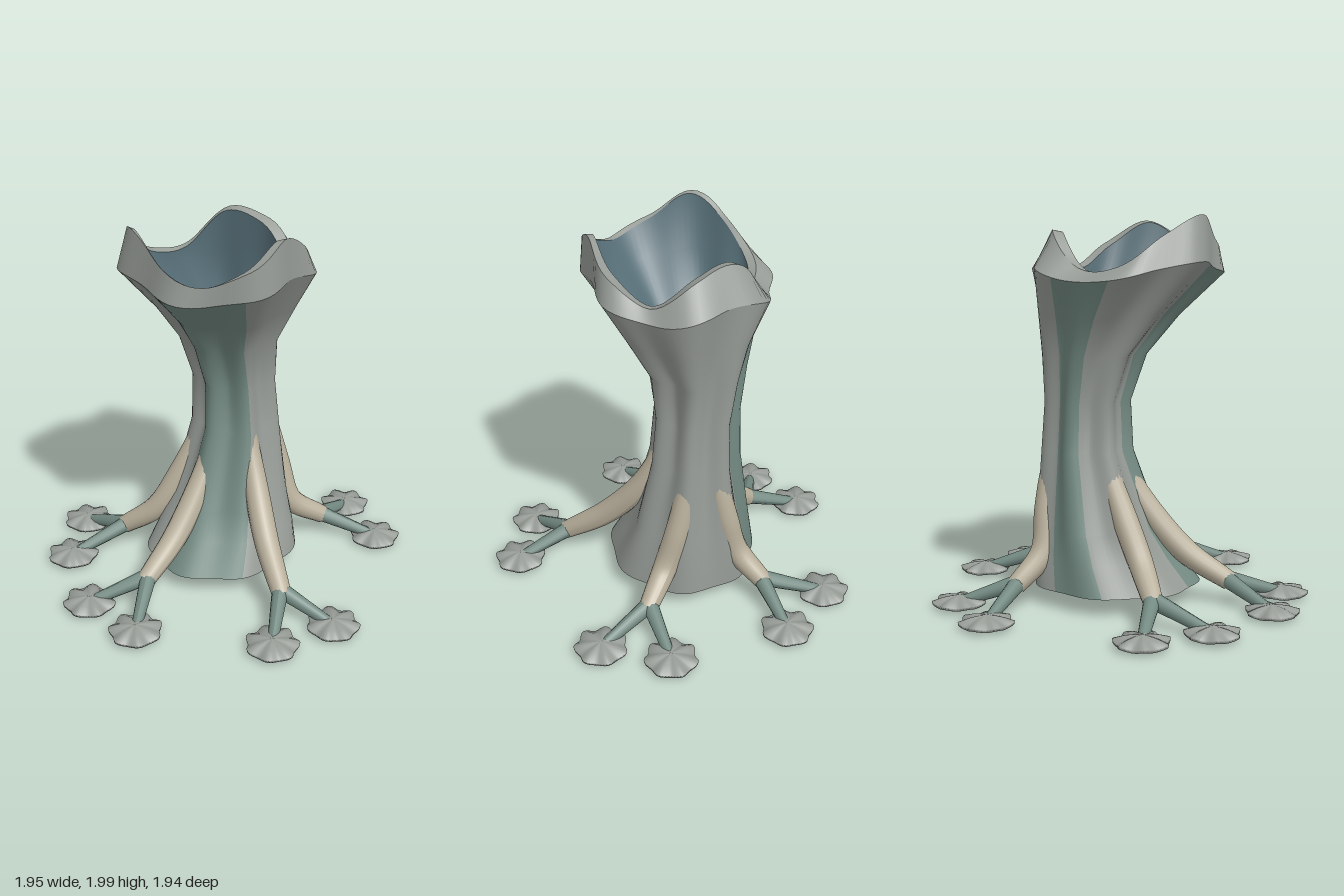
import * as THREE from 'three';

const mat = (color, side = THREE.FrontSide) => new THREE.MeshStandardMaterial({ color, side });
const BARK = mat(0x979c97), MOSS = mat(0x738a82), HOLLOW = mat(0x566e77);
const ROOT = mat(0xb9b09c), PLUG = mat(0xb9b09c, THREE.DoubleSide);

const SEG = 84, LOBES = 7;

// Height of the wavy rim, one value every 30 degrees from +x towards +z
const RIM = [1.88, 1.74, 1.86, 1.98, 1.87, 1.8, 1.87, 2.0, 1.9, 1.75, 1.74, 1.92];
function rimHeight(a) {
  const t = (a / (2 * Math.PI)) * RIM.length, i = Math.floor(t), f = t - i;
  const at = k => RIM[(k + RIM.length) % RIM.length];
  const [p, q, r, s] = [at(i - 1), at(i), at(i + 1), at(i + 2)];
  return q + 0.5 * f * (r - p + f * (2 * p - 5 * q + 4 * r - s + f * (3 * (q - r) + s - p)));
}

// Row: [height, centre x, centre z, radius x, radius z, flute depth, flute angle, share of rim wave]
const OUTER = [
  [0.1, 0.025, -0.05, 0.43, 0.39, 0.03, 18, 0],
  [0.25, 0.08, -0.055, 0.37, 0.345, 0.045, 20, 0],
  [0.4, 0.12, -0.065, 0.315, 0.3, 0.06, 22, 0],
  [0.8, 0.175, -0.07, 0.22, 0.22, 0.11, 25, 0],
  [1.06, 0.17, -0.08, 0.205, 0.205, 0.11, 25, 0],
  [1.3, 0.135, -0.09, 0.25, 0.235, 0.1, 22, 0],
  [1.5, 0.07, -0.06, 0.35, 0.33, 0.07, 16, 0.1],
  [1.72, -0.025, -0.045, 0.485, 0.468, 0.05, 10, 0.35],
];
const TOP_OUT = [1.85, -0.06, -0.015, 0.43, 0.425, 0.03, 10, 1];
const TOP_IN = [1.84, -0.08, -0.02, 0.393, 0.388, 0.015, 10, 1];
const INNER = [
  TOP_IN,
  [1.68, -0.03, -0.04, 0.36, 0.35, 0.03, 10, 0.3],
  [1.5, 0.06, -0.06, 0.28, 0.27, 0.05, 10, 0],
  [1.3, 0.13, -0.085, 0.18, 0.175, 0.09, 8, 0],
  [1.06, 0.165, -0.085, 0.12, 0.12, 0.13, 6, 0],
  [0.8, 0.17, -0.075, 0.16, 0.16, 0.1, 15, 0],
  [0.4, 0.12, -0.065, 0.265, 0.25, 0.06, 18, 0],
  [0.1, 0.025, -0.05, 0.385, 0.345, 0.03, 18, 0],
];

// Surface through fluted rings
function loft(rows) {
  const pos = [], index = [];
  for (const [y, cx, cz, rx, rz, depth, phase, wave] of rows) {
    for (let j = 0; j < SEG; j++) {
      const a = (j / SEG) * 2 * Math.PI;
      const k = 1 + depth * Math.cos(LOBES * (a - THREE.MathUtils.degToRad(phase)));
      pos.push(cx + rx * k * Math.cos(a), y + wave * (rimHeight(a) - 1.85), cz + rz * k * Math.sin(a));
    }
  }
  for (let i = 0; i < rows.length - 1; i++) {
    for (let j = 0; j < SEG; j++) {
      const a = i * SEG + j, c = i * SEG + ((j + 1) % SEG);
      index.push(a, a + SEG, c, c, a + SEG, c + SEG);
    }
  }
  const g = new THREE.BufferGeometry();
  g.setAttribute('position', new THREE.Float32BufferAttribute(pos, 3));
  g.setIndex(index);
  g.computeVertexNormals();
  return g;
}

// Keeps the strips of a loft whose angle passes the test
function strips(g, test) {
  const out = g.clone(), src = g.index.array, index = [];
  for (let f = 0; f < src.length; f += 6) {
    const angle = (((f / 6) % SEG) + 0.5) * (360 / SEG);
    if (test(angle)) index.push(...src.slice(f, f + 6));
  }
  out.setIndex(index);
  return out;
}

// Tube whose radius follows radiusAt(0..1)
function taperedTube(points, radiusAt, steps = 24, sides = 14) {
  const curve = new THREE.CatmullRomCurve3(points);
  const g = new THREE.TubeGeometry(curve, steps, 1, sides);
  const p = g.attributes.position, v = new THREE.Vector3();
  for (let i = 0; i <= steps; i++) {
    const c = curve.getPointAt(i / steps);
    for (let j = 0; j <= sides; j++) {
      const n = i * (sides + 1) + j;
      v.fromBufferAttribute(p, n).sub(c).multiplyScalar(radiusAt(i / steps)).add(c);
      p.setXYZ(n, v.x, v.y, v.z);
    }
  }
  g.computeVertexNormals();
  return g;
}

// Seven-lobed foot pad, thin and slightly domed
function padGeometry() {
  const profile = [[0, 0.022], [0.03, 0.022], [0.128, 0.026], [0.131, 0.042], [0.08, 0.06], [0.04, 0.069], [0, 0.073]];
  const g = new THREE.LatheGeometry(profile.map(q => new THREE.Vector2(...q)), 56);
  const p = g.attributes.position;
  for (let i = 0; i < p.count; i++) {
    const x = p.getX(i), z = p.getZ(i), r = Math.hypot(x, z);
    const w = Math.cos(LOBES * Math.atan2(z, x)), k = 1 + 0.075 * w;
    p.setXYZ(i, x * k, p.getY(i) + 0.04 * r * w, z * k);
  }
  g.computeVertexNormals();
  return g;
}

// Path of each root from the neck to its fork [x, y, z], and its two pad centres [x, z]
const ROOTS = [
  { path: [[0.07, 0.88, -0.18], [0.03, 0.7, -0.22], [-0.06, 0.48, -0.28], [-0.16, 0.27, -0.37], [-0.25, 0.125, -0.54]],
    pads: [[-0.55, -0.66], [-0.24, -0.84]] },
  { path: [[0.32, 0.85, -0.12], [0.35, 0.7, -0.15], [0.365, 0.5, -0.19], [0.375, 0.28, -0.25], [0.49, 0.125, -0.37]],
    pads: [[0.55, -0.69], [0.78, -0.4]] },
  { path: [[0.02, 0.88, -0.08], [-0.02, 0.72, -0.08], [-0.13, 0.52, -0.08], [-0.34, 0.28, -0.085], [-0.58, 0.125, -0.09]],
    pads: [[-0.81, -0.28], [-0.84, 0.07]] },
  { path: [[0.33, 0.86, -0.01], [0.35, 0.7, 0.02], [0.37, 0.48, 0.07], [0.39, 0.25, 0.15], [0.53, 0.125, 0.28]],
    pads: [[0.83, 0.24], [0.65, 0.56]] },
  { path: [[0.08, 0.86, 0.07], [0.06, 0.7, 0.11], [0.01, 0.52, 0.19], [-0.1, 0.31, 0.34], [-0.24, 0.125, 0.55]],
    pads: [[-0.5, 0.68], [-0.18, 0.83]] },
];

export function createModel() {
  const model = new THREE.Group();
  const add = (parent, name, geometry, material) => {
    const m = new THREE.Mesh(geometry, material);
    m.name = name;
    parent.add(m);
    return m;
  };

  // Hollow trunk: bark with two mossy flutes, rim, inner wall, bottom edge
  const trunk = new THREE.Group();
  trunk.name = 'trunk';
  model.add(trunk);
  const bark = loft(OUTER);
  const mossy = a => (a > 125 && a < 198) || (a > 270 && a < 310);
  add(trunk, 'bark', strips(bark, a => !mossy(a)), BARK);
  add(trunk, 'mossyBark', strips(bark, mossy), MOSS);
  add(trunk, 'rimSlope', loft([OUTER.at(-1), TOP_OUT]), BARK);
  add(trunk, 'rimEdge', loft([TOP_OUT, TOP_IN]), BARK);
  add(trunk, 'innerWall', loft(INNER), HOLLOW);
  add(trunk, 'bottomEdge', loft([INNER.at(-1), OUTER[0]]), BARK);

  // Pleated plug closing the neck
  add(trunk, 'neckPlug', loft([
    [1.0, 0.165, -0.085, 0.13, 0.13, 0.13, 6, 0],
    [1.03, 0.165, -0.085, 0.07, 0.07, 0.2, 6, 0],
    [1.04, 0.165, -0.085, 0.001, 0.001, 0, 6, 0],
  ]), PLUG);

  // Forked roots with toes and pads
  const pad = padGeometry();
  ROOTS.forEach(({ path, pads }) => {
    const root = new THREE.Group();
    root.name = 'root';
    model.add(root);
    const points = path.map(p => new THREE.Vector3(...p));
    const fork = points.at(-1);
    add(root, 'rootStem', taperedTube(points, t => 0.03 + 0.037 * Math.sin(Math.PI * (0.08 + 0.74 * t))), ROOT);

    pads.forEach(([x, z], i) => {
      const start = fork.clone().lerp(points.at(-2), 0.1), end = new THREE.Vector3(x, 0.035, z);
      const mid = start.clone().lerp(end, 0.5);
      add(root, 'toe', taperedTube([start, mid, end], t => 0.044 - 0.018 * t, 8, 12), MOSS);
      const foot = add(root, 'footPad', pad, BARK);
      foot.position.set(x, 0, z);
      foot.rotation.y = Math.atan2(fork.z - z, x - fork.x) + i * 0.3;
    });
  });
  return model;
}
